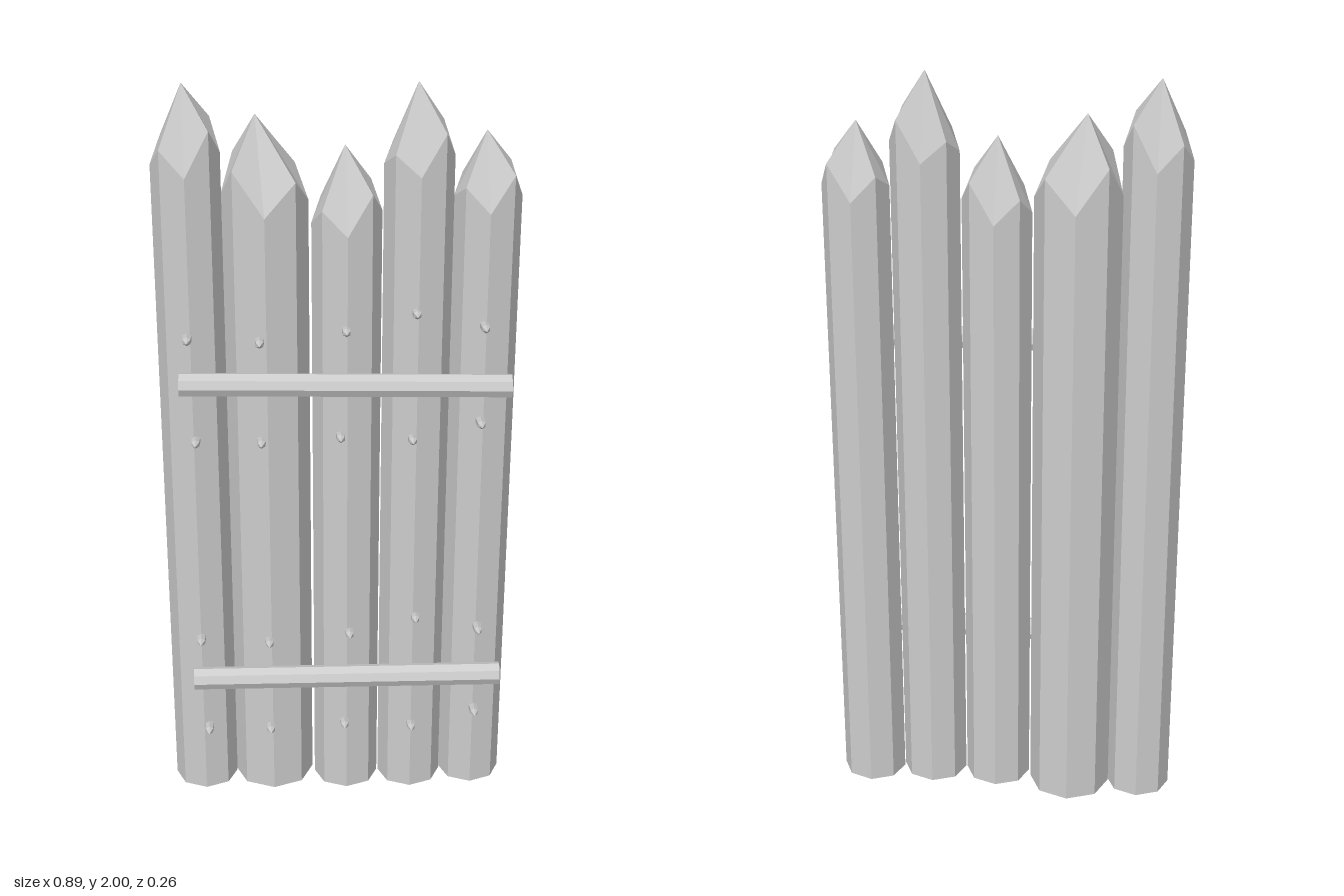
import * as THREE from 'three';

const wood = new THREE.MeshStandardMaterial({ color: 0xcccccc, flatShading: true });
wood.name = 'pale grey wood';

// Eight-sided post whose top is cut by four planes into a sharpened point
function stakeGeometry({ x, z, rx, rz, tip, front, left, right, diagLeft, diagRight }) {
  const heights = [front, diagRight, right, diagRight, front, diagLeft, left, diagLeft];
  const corner = (k, top) => {
    const a = (k % 8) * Math.PI / 4;
    return [x + rx * Math.sin(a), top ? heights[k % 8] : 0, z + rz * Math.cos(a)];
  };
  const pos = [];
  for (let k = 0; k < 8; k++) {
    const a = corner(k, false), b = corner(k + 1, false);
    const c = corner(k + 1, true), d = corner(k, true);
    pos.push(...a, ...b, ...c, ...a, ...c, ...d); // side
    pos.push(...d, ...c, ...tip); // point
    pos.push(x, 0, z, ...b, ...a); // base
  }
  const g = new THREE.BufferGeometry();
  g.setAttribute('position', new THREE.Float32BufferAttribute(pos, 3));
  g.computeVertexNormals();
  return g;
}

const stakes = [
  { x: -0.365, z: -0.021, rx: 0.084, rz: 0.077, tip: [-0.368, 2, -0.026],
    front: 1.79, left: 1.8, right: 1.83, diagLeft: 1.855, diagRight: 1.9 },
  { x: -0.178, z: -0.035, rx: 0.107, rz: 0.098, tip: [-0.197, 1.915, -0.045],
    front: 1.69, left: 1.71, right: 1.7, diagLeft: 1.8, diagRight: 1.77 },
  { x: 0.021, z: -0.012, rx: 0.086, rz: 0.077, tip: [0.017, 1.845, -0.02],
    front: 1.64, left: 1.65, right: 1.68, diagLeft: 1.7, diagRight: 1.74 },
  { x: 0.195, z: -0.012, rx: 0.085, rz: 0.077, tip: [0.19, 2, -0.02],
    front: 1.79, left: 1.8, right: 1.82, diagLeft: 1.84, diagRight: 1.89 },
  { x: 0.363, z: -0.025, rx: 0.083, rz: 0.077, tip: [0.356, 1.875, -0.03],
    front: 1.69, left: 1.71, right: 1.71, diagLeft: 1.75, diagRight: 1.78 },
];

// Nail positions, four rows across the five stakes
const nailRows = {
  upperNailsTop: [[-0.372, 1.38], [-0.195, 1.37], [0.018, 1.398], [0.19, 1.443], [0.358, 1.403]],
  upperNailsBottom: [[-0.36, 1.095], [-0.195, 1.092], [0.004, 1.105], [0.185, 1.095], [0.356, 1.138]],
  lowerNailsTop: [[-0.364, 0.5], [-0.184, 0.49], [0.028, 0.515], [0.201, 0.561], [0.367, 0.522]],
  lowerNailsBottom: [[-0.351, 0.213], [-0.184, 0.212], [0.015, 0.224], [0.195, 0.213], [0.365, 0.257]],
};

function addMesh(parent, name, geometry) {
  const mesh = new THREE.Mesh(geometry, wood);
  mesh.name = name;
  parent.add(mesh);
  return mesh;
}

// Aligns a part's y axis with the line from a to b and centres it there
function stretchBetween(mesh, a, b) {
  mesh.position.copy(a).add(b).multiplyScalar(0.5);
  mesh.quaternion.setFromUnitVectors(new THREE.Vector3(0, 1, 0), b.clone().sub(a).normalize());
}

export function createModel() {
  const model = new THREE.Group();
  model.name = 'palisade';

  stakes.forEach((s, i) => addMesh(model, `stake${i + 1}`, stakeGeometry(s)));

  // Round cross rails on the front
  const rails = [
    ['upperRail', [-0.395, 1.268, 0.091], [0.425, 1.257, 0.101]],
    ['lowerRail', [-0.385, 0.391, 0.092], [0.425, 0.398, 0.102]],
  ];
  for (const [name, from, to] of rails) {
    const a = new THREE.Vector3(...from), b = new THREE.Vector3(...to);
    const rail = addMesh(model, name, new THREE.CylinderGeometry(0.03, 0.03, a.distanceTo(b), 8));
    stretchBetween(rail, a, b);
  }

  // Pointed nails, tilted slightly upward
  const profile = [[0, -0.035], [0.013, -0.035], [0.011, 0.008], [0, 0.035]];
  const nailGeometry = new THREE.LatheGeometry(profile.map(p => new THREE.Vector2(...p)), 6);
  for (const [name, row] of Object.entries(nailRows)) {
    const group = new THREE.Group();
    group.name = name;
    for (const [x, y] of row) {
      const nail = addMesh(group, 'nail', nailGeometry);
      stretchBetween(nail, new THREE.Vector3(x, y - 0.006, 0.044), new THREE.Vector3(x, y + 0.008, 0.114));
    }
    model.add(group);
  }
  return model;
}
